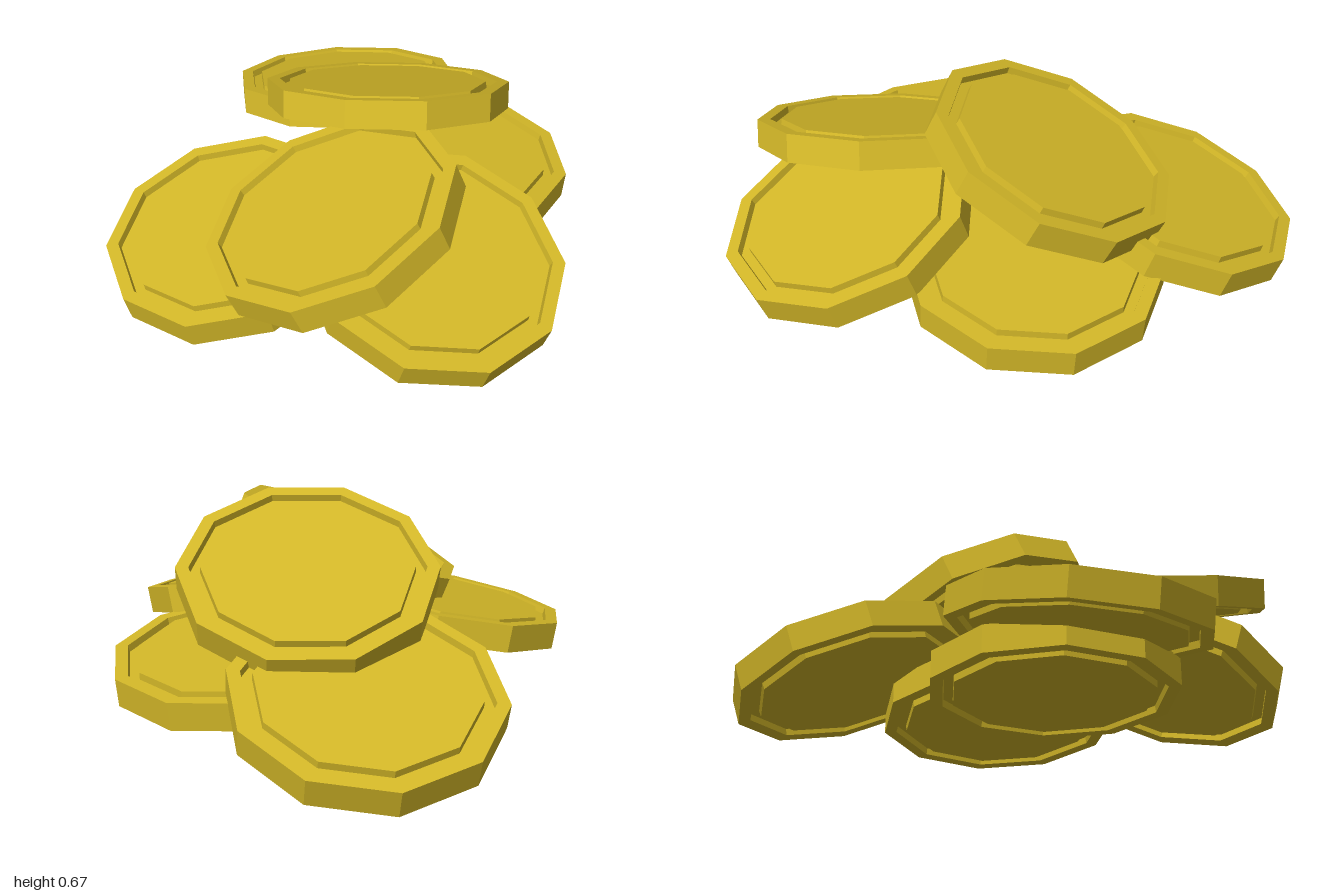
import * as THREE from 'three';

const UP = new THREE.Vector3(0, 1, 0);

// Ten-sided disc with a ring groove cut into both faces
function discGeometry() {
  const R = 0.45, H = 0.05, OUTER = 0.405, INNER = 0.365, FLOOR = 0.025;
  const top = [[R, H], [OUTER, H], [OUTER - 0.004, FLOOR], [INNER + 0.002, FLOOR], [INNER, H], [0, H]];
  const bottom = top.map(([r, y]) => [r, -y]).reverse();
  const profile = [...bottom, ...top].map(([r, y]) => new THREE.Vector2(r, y));
  return new THREE.LatheGeometry(profile, 10);
}

export function createModel() {
  const model = new THREE.Group();
  model.name = 'coinPile';
  const gold = new THREE.MeshStandardMaterial({ color: 0xd4b828, flatShading: true });
  const geometry = discGeometry();

  // Each coin: name, centre, face direction, heading of one corner in degrees
  const coins = [
    ['baseCoin', [-0.08, 0.08, 0.05], [0, 1, 0], 18],
    ['rightCoin', [-0.455, 0.16, -0.01], [-0.228, 1, 0], 29.4],
    ['leftCoin', [0.455, 0.155, 0.05], [0.085, 1, 0], 10],
    ['backCoin', [0.375, 0.195, -0.555], [0.14, 1, -0.3], 7.5],
    ['frontCoin', [0.025, 0.23, 0.555], [0, 1, 0.325], 29],
    ['upperCoin', [-0.233, 0.384, 0.328], [-0.36, 1, -0.18], 30],
    ['topCoin', [0.269, 0.454, -0.103], [0.245, 1, -0.38], 35],
  ];

  for (const [name, centre, facing, heading] of coins) {
    const coin = new THREE.Mesh(geometry, gold);
    coin.name = name;
    coin.position.set(...centre);
    const spin = new THREE.Quaternion().setFromAxisAngle(UP, THREE.MathUtils.degToRad(18 - heading));
    coin.quaternion.setFromUnitVectors(UP, new THREE.Vector3(...facing).normalize()).multiply(spin);
    model.add(coin);
  }
  return model;
}
